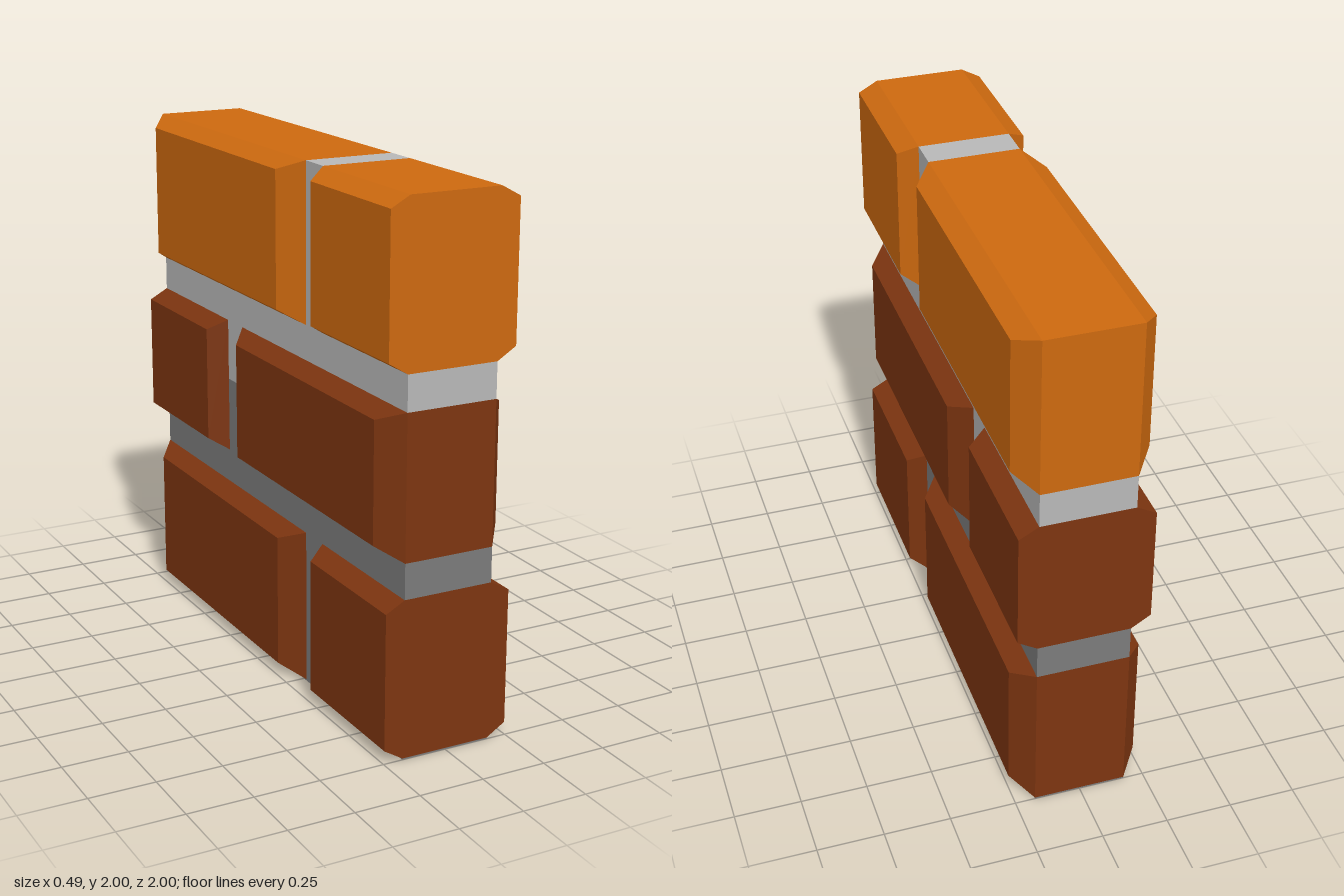
import * as THREE from 'three';

const material = (name, color) => Object.assign(new THREE.MeshStandardMaterial({ color }), { name });

const CORE = 0.174;  // half thickness at the mortar
const FACE = 0.247;  // half thickness at the brick faces

export function createModel() {
  const orange = material('orange brick', 0xcd690f);
  const brown = material('brown brick', 0x7d3510);
  const lightGrey = material('light mortar', 0xb8b8b8);
  const darkGrey = material('dark mortar', 0x7b7b7b);

  const wall = new THREE.Group();
  wall.name = 'brickWall';

  // Brick running through the wall; its two faces are inset by bevels.
  // back / front are the bevel lengths at the z0 and z1 ends.
  function addBrick(name, mat, [y0, y1], [z0, z1], back, front) {
    const geo = new THREE.BoxGeometry(3, 1, 1, 3, 1, 1);
    const p = geo.attributes.position;
    for (let i = 0; i < p.count; i++) {
      const outer = Math.abs(p.getX(i)) > 1 ? 1 : 0;
      const x = Math.sign(p.getX(i)) * (outer ? FACE : CORE);
      const y = p.getY(i) < 0 ? y0 + 0.045 * outer : y1 - 0.04 * outer;
      const z = p.getZ(i) < 0 ? z0 + back * outer : z1 - front * outer;
      p.setXYZ(i, x, y, z);
    }
    const flat = geo.toNonIndexed();
    flat.computeVertexNormals();
    const mesh = new THREE.Mesh(flat, mat);
    mesh.name = name;
    wall.add(mesh);
  }

  // Plain mortar block between bricks
  function addMortar(name, mat, [y0, y1], [z0, z1]) {
    const mesh = new THREE.Mesh(new THREE.BoxGeometry(CORE * 2, y1 - y0, z1 - z0), mat);
    mesh.position.set(0, (y0 + y1) / 2, (z0 + z1) / 2);
    mesh.name = name;
    wall.add(mesh);
  }

  // Bottom and top courses share one layout, the middle course is reversed
  const bottom = [0.005, 0.602], middle = [0.735, 1.27], top = [1.402, 2];
  for (const [label, mat, rows] of [['bottom', brown, bottom], ['top', orange, top]]) {
    addBrick(label + 'ShortBrick', mat, rows, [0.4, 1], 0.045, 0);
    addBrick(label + 'LongBrick', mat, rows, [-1, 0.27], 0.095, 0.095);
  }
  addBrick('middleLongBrick', brown, middle, [-0.265, 1], 0.095, 0.095);
  addBrick('middleShortBrick', brown, middle, [-1, -0.395], 0, 0.045);

  // Horizontal joints and base
  addMortar('baseMortar', darkGrey, [0, 0.005], [-1, 1]);
  addMortar('lowerJoint', darkGrey, [bottom[1], middle[0]], [-1, 1]);
  addMortar('upperJoint', lightGrey, [middle[1], top[0]], [-1, 1]);

  // Vertical joints; the middle one changes colour part way up
  addMortar('bottomJoint', darkGrey, bottom, [0.27, 0.4]);
  addMortar('middleJointLower', darkGrey, [middle[0], 1.03], [-0.395, -0.265]);
  addMortar('middleJointUpper', lightGrey, [1.03, middle[1]], [-0.395, -0.265]);
  addMortar('topJoint', lightGrey, top, [0.27, 0.4]);

  return wall;
}
